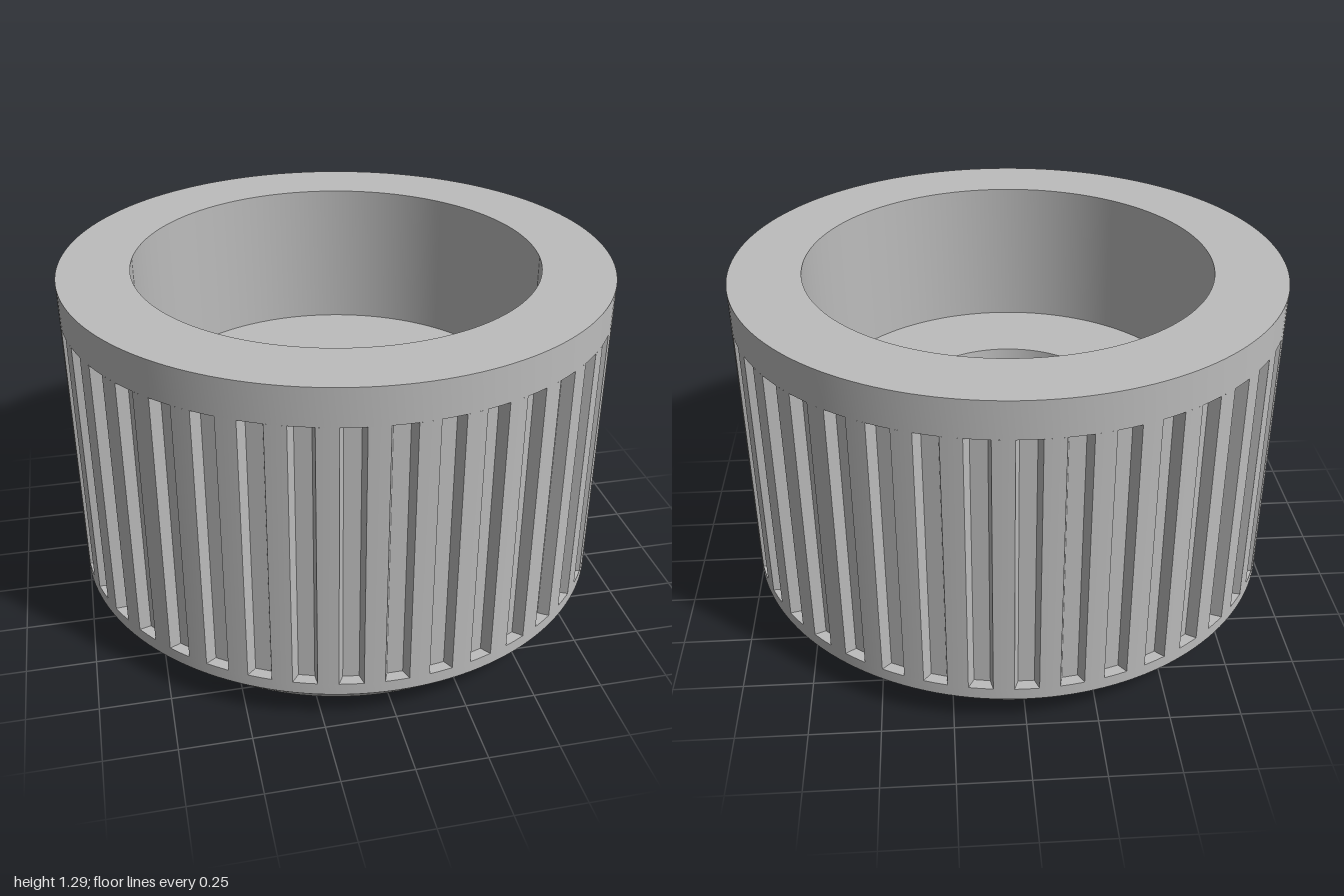
import * as THREE from 'three';
import { toCreasedNormals } from 'three/addons/utils/BufferGeometryUtils.js';

const GROOVES = 40;
const GRIP_BOTTOM = 0.165, GRIP_TOP = 1.16;
const GROOVE_HALF = 0.0425, FLOOR_HALF = 0.028, FLOOR_R = 0.96;

// Surface of revolution with crisp edges between its bands
function turned(profile) {
  const points = profile.map(([r, y]) => new THREE.Vector2(r, y));
  return toCreasedNormals(new THREE.LatheGeometry(points, 160), 0.5);
}

// Vertical wall following an outline with evenly spaced shallow flutes
function flutedWall() {
  const outline = [];
  const step = (Math.PI * 2) / GROOVES;
  const edge = Math.asin(GROOVE_HALF);
  const floorEdge = Math.atan(FLOOR_HALF / FLOOR_R);
  const add = (r, a) => outline.push([r * Math.sin(a), r * Math.cos(a)]);
  for (let i = 0; i < GROOVES; i++) {
    const a = i * step;
    add(FLOOR_R, a - floorEdge);
    add(FLOOR_R, a + floorEdge);
    for (let k = 0; k <= 4; k++) add(1, a + edge + ((step - 2 * edge) * k) / 4);
  }
  const pos = [];
  outline.forEach(([x0, z0], i) => {
    const [x1, z1] = outline[(i + 1) % outline.length];
    const a = [x0, GRIP_BOTTOM, z0], b = [x1, GRIP_BOTTOM, z1];
    const c = [x1, GRIP_TOP, z1], d = [x0, GRIP_TOP, z0];
    pos.push(...a, ...b, ...c, ...a, ...c, ...d);
  });
  const geo = new THREE.BufferGeometry();
  geo.setAttribute('position', new THREE.Float32BufferAttribute(pos, 3));
  geo.computeVertexNormals();
  return toCreasedNormals(geo, 0.2);
}

export function createModel() {
  const knob = new THREE.Group();
  knob.name = 'knob';
  const grey = new THREE.MeshStandardMaterial({ color: 0xbcbcbc });
  grey.name = 'grey plastic';
  const part = (name, geometry) => {
    const mesh = new THREE.Mesh(geometry, grey);
    mesh.name = name;
    knob.add(mesh);
    return mesh;
  };

  // Chamfered lower edge with the ledge that closes the flutes
  part('chamferedEdge', turned([[0.88, 0], [1, 0.12], [1, GRIP_BOTTOM], [0.93, GRIP_BOTTOM]]));

  // Fluted grip
  part('flutedGrip', flutedWall());

  // Plain rim, wide cavity and the tapered shaft hole in its floor
  part('rimAndCavity', turned([
    [0.93, GRIP_TOP], [1, GRIP_TOP], [1, 1.295], [0.74, 1.295],
    [0.74, 0.73], [0.395, 0.73], [0.35, 0.3], [0, 0.3],
  ]));

  // Flat face underneath, pierced by the pointer slot
  const x = 0.045, z0 = 0.51, z1 = 0.873, depth = 0.055;
  const disc = new THREE.Shape().absarc(0, 0, 0.88, 0, Math.PI * 2, false);
  disc.holes.push(new THREE.Path([[-x, z0], [-x, z1], [x, z1], [x, z0], [-x, z0]]
    .map(([u, v]) => new THREE.Vector2(u, v))));
  part('flatFace', new THREE.ShapeGeometry(disc, 160).rotateX(Math.PI / 2));

  // Pointer slot: a box turned inside out
  const slot = new THREE.BoxGeometry(2 * x, depth, z1 - z0).scale(1, -1, 1);
  slot.computeVertexNormals();
  part('pointerSlot', slot).position.set(0, depth / 2, (z0 + z1) / 2);

  return knob;
}
